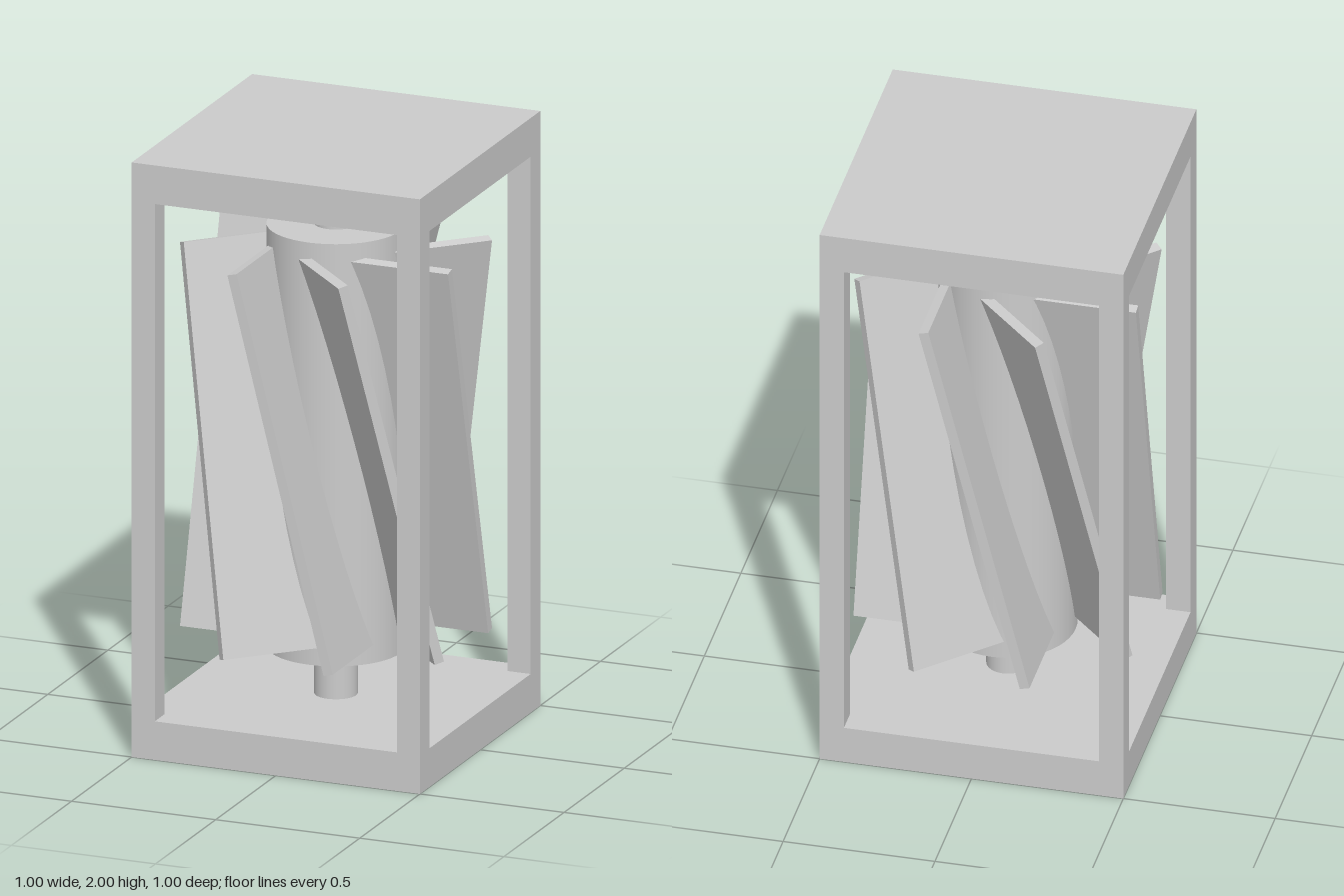
import * as THREE from 'three';

export function createModel() {
  const model = new THREE.Group();
  const material = new THREE.MeshStandardMaterial({ color: 0xcccccc });

  function add(parent, name, geometry, x, y, z) {
    const mesh = new THREE.Mesh(geometry, material);
    mesh.name = name;
    mesh.position.set(x, y, z);
    parent.add(mesh);
    return mesh;
  }

  // Open frame: two slabs joined by four corner posts
  const slabHeight = 0.13, post = 0.08, postHeight = 2 - 2 * slabHeight;
  const frame = new THREE.Group();
  frame.name = 'frame';
  model.add(frame);
  const slab = new THREE.BoxGeometry(1, slabHeight, 1);
  add(frame, 'baseSlab', slab, 0, slabHeight / 2, 0);
  add(frame, 'topSlab', slab, 0, 2 - slabHeight / 2, 0);
  const postGeometry = new THREE.BoxGeometry(post, postHeight, post);
  const offset = 0.5 - post / 2;
  for (const x of [-offset, offset]) {
    for (const z of [-offset, offset]) add(frame, 'cornerPost', postGeometry, x, 1, z);
  }

  // Rotor: axle, hub and eight tilted radial blades
  const rotor = new THREE.Group();
  rotor.name = 'rotor';
  model.add(rotor);
  add(rotor, 'axle', new THREE.CylinderGeometry(0.07, 0.07, postHeight, 32), 0, 1, 0);
  add(rotor, 'hub', new THREE.CylinderGeometry(0.223, 0.223, 1.42, 48), 0, 1, 0);

  const bladeCount = 8, inner = 0.1, outer = 0.465, tilt = 0.25;
  const bladeGeometry = new THREE.BoxGeometry(0.033, 1.348, outer - inner);
  for (let i = 0; i < bladeCount; i++) {
    const arm = new THREE.Group();
    arm.name = 'bladeArm';
    arm.rotation.y = (i / bladeCount) * Math.PI * 2;
    const blade = add(arm, 'blade', bladeGeometry, 0, 1, (inner + outer) / 2);
    blade.rotation.z = tilt;
    rotor.add(arm);
  }

  return model;
}
